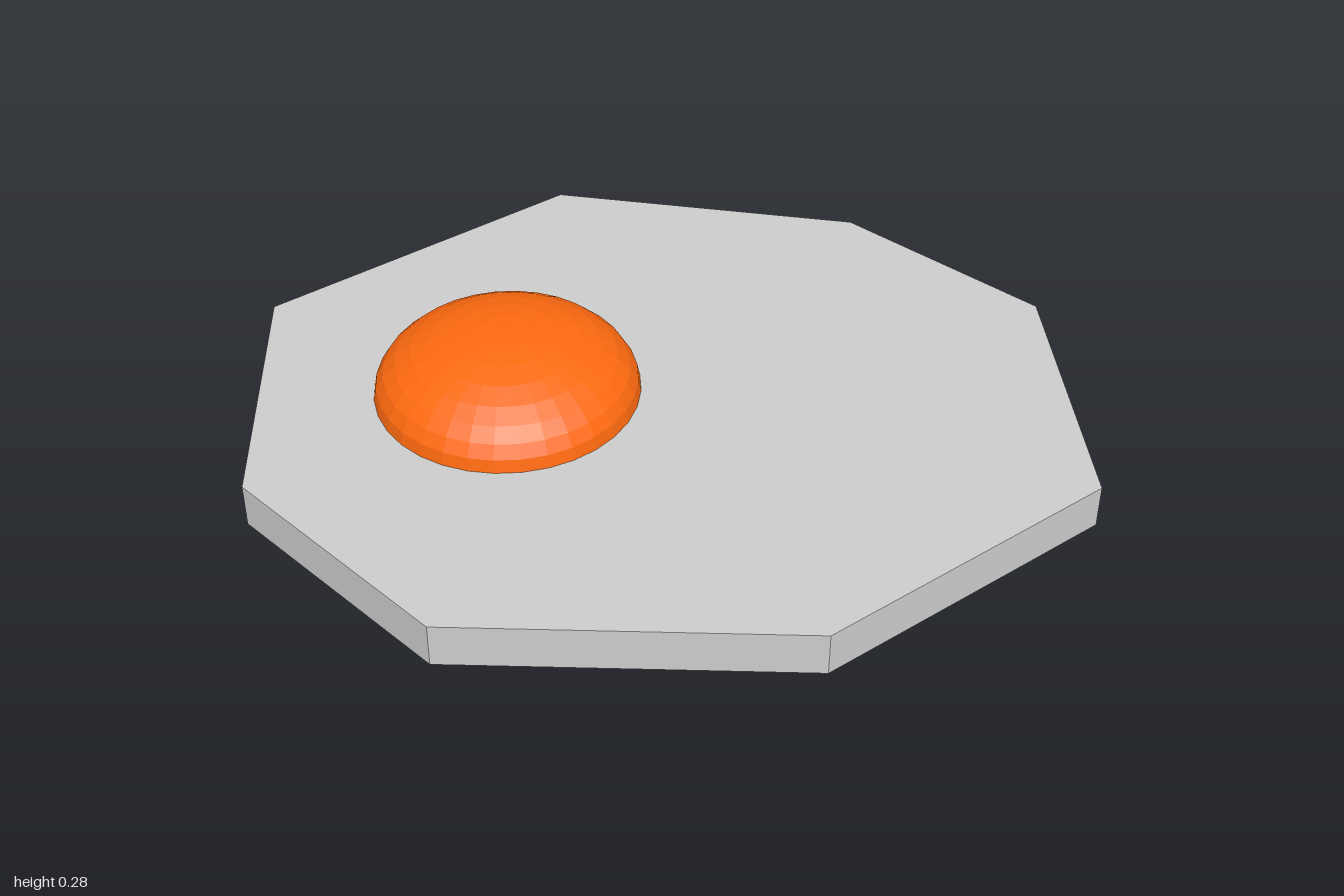
import * as THREE from 'three';

const SLAB_HEIGHT = 0.11;

export function createModel() {
  const model = new THREE.Group();
  model.name = 'friedEgg';

  // Egg white: an irregular eight-sided slab, corners given as x, z
  const corners = [
    [1, 0], [0.81, 0.67], [0.05, 0.89], [-0.73, 0.575],
    [-1, 0], [-0.785, -0.655], [0.045, -0.895], [0.72, -0.505],
  ];
  const outline = new THREE.Shape(corners.map(([x, z]) => new THREE.Vector2(x, -z)));
  const slab = new THREE.ExtrudeGeometry(outline, { depth: SLAB_HEIGHT, bevelEnabled: false });
  slab.rotateX(-Math.PI / 2);
  const white = new THREE.Mesh(
    slab,
    new THREE.MeshStandardMaterial({ color: 0xcccccc, flatShading: true }),
  );
  white.name = 'eggWhite';
  model.add(white);

  // Yolk: a flattened, faceted half sphere resting on the slab
  const dome = new THREE.SphereGeometry(0.317, 32, 8, 0, Math.PI * 2, 0, Math.PI / 2);
  dome.scale(1, 0.167 / 0.317, 1);
  const yolk = new THREE.Mesh(
    dome,
    new THREE.MeshStandardMaterial({ color: 0xff6a10, flatShading: true }),
  );
  yolk.name = 'yolk';
  yolk.position.set(-0.333, SLAB_HEIGHT, -0.142);
  model.add(yolk);

  return model;
}
